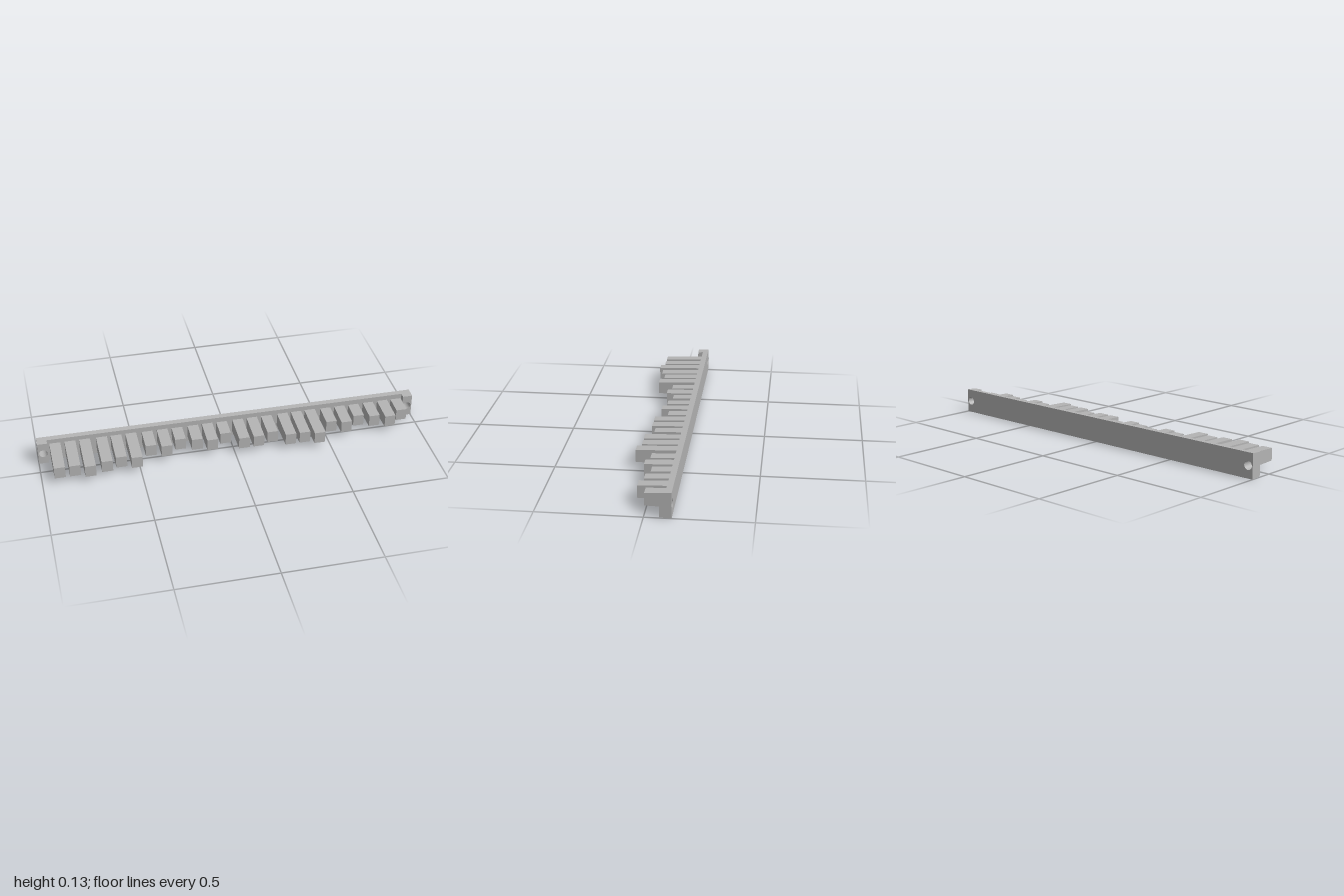
import * as THREE from 'three';

const MID = 0.063;      // height of the centre line
const BACK = -0.127;    // rear face
const PLATE = -0.098;   // front face of the thin plate
const TAB = -0.071;     // front face of the end tabs

// Tooth list: centre x and length step (0 = shortest, 6 = longest)
const teeth = [
  [-0.909, 5], [-0.832, 5], [-0.757, 6], [-0.67, 5], [-0.595, 4], [-0.518, 5],
  [-0.433, 1], [-0.354, 2], [-0.276, 0], [-0.192, 1], [-0.116, 2], [-0.039, 0],
  [0.047, 3], [0.124, 3], [0.202, 2], [0.289, 4], [0.364, 4], [0.439, 5],
  [0.525, 1], [0.602, 2], [0.68, 0], [0.761, 1], [0.841, 2], [0.917, 0],
];

// Adjusts heights so that the half height is a function of z
function draft(geo, halfAt, reference) {
  const p = geo.attributes.position;
  for (let i = 0; i < p.count; i++) {
    p.setY(i, MID + (p.getY(i) - MID) * halfAt(p.getZ(i)) / reference);
  }
  geo.computeVertexNormals();
  return geo;
}

// Rectangular slab with round screw holes, extruded along z
function slab(x0, x1, z0, z1, holes) {
  const s = new THREE.Shape();
  s.moveTo(x0, 0);
  s.lineTo(x1, 0);
  s.lineTo(x1, 2 * MID);
  s.lineTo(x0, 2 * MID);
  s.closePath();
  for (const x of holes) {
    s.holes.push(new THREE.Path().absarc(x, MID, 0.022, 0, Math.PI * 2, true));
  }
  const g = new THREE.ExtrudeGeometry(s, { depth: z1 - z0, bevelEnabled: false, curveSegments: 16 });
  g.translate(0, 0, z0);
  return draft(g, z => MID - 0.06 * (z - BACK), MID);
}

export function createModel() {
  const group = new THREE.Group();
  const grey = new THREE.MeshStandardMaterial({ color: 0xb4b4b4 });
  grey.name = 'grey';
  const add = (name, geo) => {
    const mesh = new THREE.Mesh(geo, grey);
    mesh.name = name;
    group.add(mesh);
  };

  // Backing plate and the thicker mounting tabs at its ends
  add('backPlate', slab(-1, 1, BACK, PLATE, [-0.973, 0.973]));
  add('rightTab', slab(-1, -0.949, PLATE, TAB, [-0.973]));
  add('leftTab', slab(0.949, 1, PLATE, TAB, [0.973]));

  // Teeth, all ending at the same height and growing towards the plate
  teeth.forEach(([x, step], i) => {
    const end = 0.003 + step * 0.0208;
    const geo = new THREE.BoxGeometry(0.056, 0.062, end - PLATE);
    geo.translate(x, MID, (end + PLATE) / 2);
    add(`tooth${i + 1}`, draft(geo, z => 0.031 + 0.034 * (end - z), 0.031));
  });
  return group;
}
